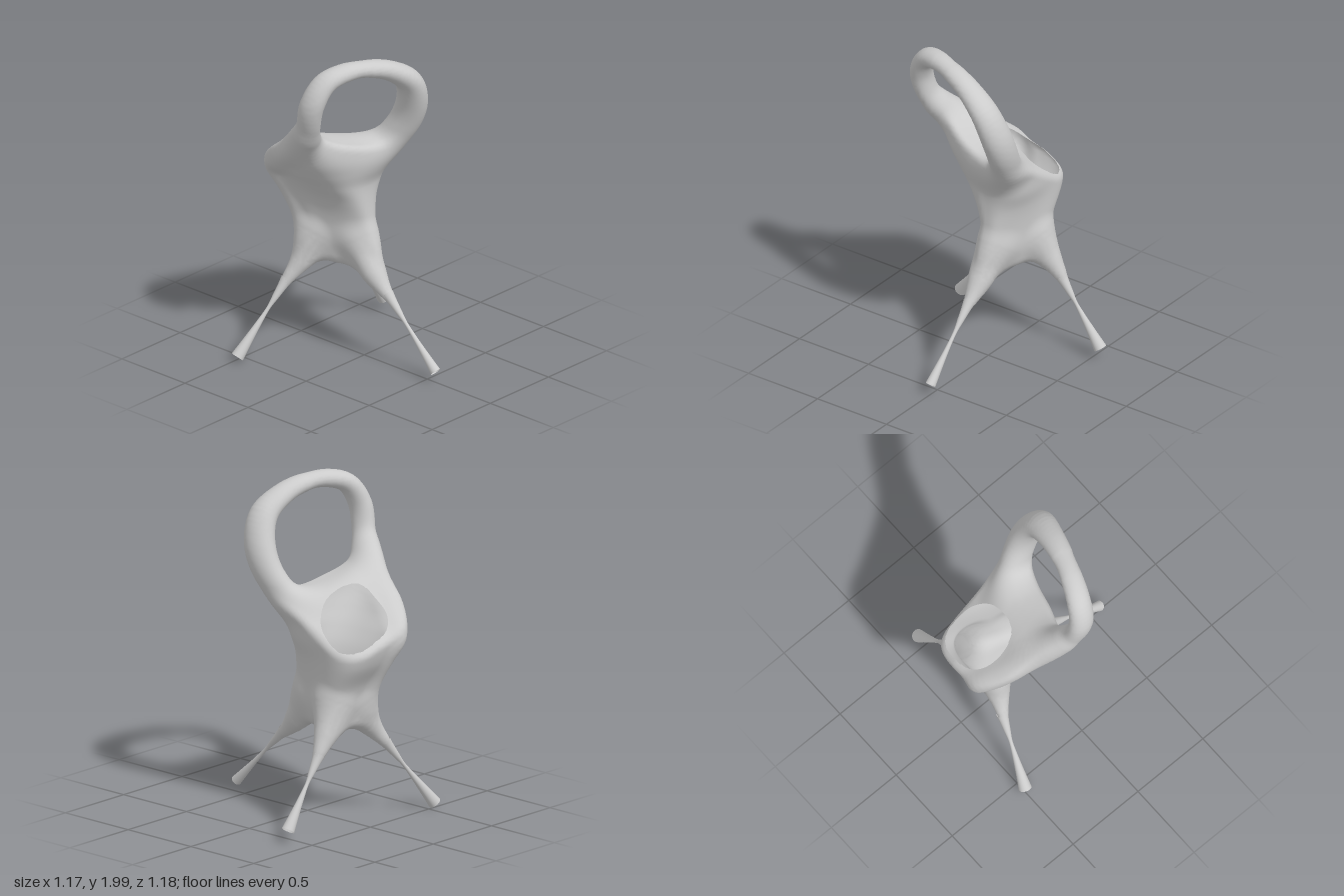
import * as THREE from 'three';

const { lerp, clamp, smoothstep } = THREE.MathUtils;
const material = new THREE.MeshStandardMaterial({ color: 0xcccccc, side: THREE.DoubleSide });

// Blended union and intersection of two distances
const smin = (a, b, k) => Math.min(a, b) - (Math.max(k - Math.abs(a - b), 0) ** 2) / (4 * k);
const smax = (a, b, k) => -smin(-a, -b, k);

// Distance to a curved limb through points [x, y, z, radius]; zScale < 1 widens it in z
function limb(points, closed, steps, zScale = 1) {
  const path = new THREE.CatmullRomCurve3(points.map(p => new THREE.Vector3(p[0], p[1], p[2] * zScale)), closed);
  const radius = new THREE.CatmullRomCurve3(points.map((p, i) => new THREE.Vector3(p[3], i, 0)), closed);
  const s = [];
  for (let i = 0; i <= steps; i++) {
    const p = path.getPoint(i / steps);
    s.push([p.x, p.y, p.z, radius.getPoint(i / steps).x]);
  }
  return (x, y, z) => {
    let best = 1e9;
    for (let i = 0; i < steps; i++) {
      const a = s[i], b = s[i + 1];
      const dx = b[0] - a[0], dy = b[1] - a[1], dz = b[2] - a[2];
      const px = x - a[0], py = y - a[1], pz = z * zScale - a[2];
      const t = clamp((px * dx + py * dy + pz * dz) / (dx * dx + dy * dy + dz * dz), 0, 1);
      const d = Math.sqrt((px - t * dx) ** 2 + (py - t * dy) ** 2 + (pz - t * dz) ** 2) - lerp(a[3], b[3], t);
      if (d < best) best = d;
    }
    return best;
  };
}

// Tilted loop handle
const handle = limb([
  [-0.27, 1.945, 0.115, 0.053], [-0.40, 1.90, 0.06, 0.058], [-0.47, 1.77, 0.02, 0.062],
  [-0.45, 1.60, -0.03, 0.06], [-0.375, 1.46, -0.12, 0.066], [-0.24, 1.345, -0.16, 0.08],
  [-0.02, 1.27, -0.09, 0.085], [0.14, 1.33, 0.02, 0.08], [0.2, 1.47, 0.125, 0.08],
  [0.2, 1.63, 0.195, 0.08], [0.135, 1.79, 0.225, 0.072], [0, 1.89, 0.2, 0.06],
  [-0.13, 1.935, 0.165, 0.053],
], true, 78, 0.78);

// Ridge from the handle's right arm over the back corner and down to the right leg
const shoulder = limb([
  [-0.42, 1.52, -0.08, 0.035], [-0.37, 1.4, -0.2, 0.05], [-0.285, 1.25, -0.4, 0.052], [-0.2, 1.125, -0.535, 0.045],
  [-0.145, 1.0, -0.485, 0.035], [-0.11, 0.85, -0.415, 0.035], [-0.1, 0.7, -0.36, 0.04],
], false, 36);

// Legs: upper roots melt into the body, lower ends run to the feet
const legs = [
  { name: 'frontLeg', foot: [0, 0.07, 0.567], flare: 0.8,
    root: [[0, 0.42, 0.22, 0.026], [0, 0.48, 0.15, 0.046], [0, 0.565, 0.07, 0.076], [0.01, 0.74, -0.05, 0.1]] },
  { name: 'leftLeg', foot: [0.55, 0.075, -0.355], flare: 1,
    root: [[0.3, 0.435, -0.345, 0.025], [0.262, 0.492, -0.342, 0.042], [0.205, 0.575, -0.33, 0.066], [0.11, 0.74, -0.3, 0.095]] },
  { name: 'rightLeg', foot: [-0.56, 0.028, -0.49], flare: 1,
    root: [[-0.27, 0.415, -0.4, 0.026], [-0.225, 0.475, -0.38, 0.04], [-0.162, 0.56, -0.35, 0.062], [-0.07, 0.74, -0.31, 0.09]] },
];
const roots = legs.map(l => limb(l.root, false, 26));

// Body cross-sections: y, centre x, centre z, half width, half depth, taper to the front
const sections = [
  [0.55, 0.01, -0.19, 0.11, 0.19, 0.55], [0.7, 0.02, -0.175, 0.135, 0.23, 0.52],
  [0.85, 0.02, -0.205, 0.15, 0.245, 0.42], [1.0, 0.007, -0.255, 0.187, 0.285, 0.22],
  [1.1, -0.012, -0.272, 0.225, 0.303, 0.05], [1.2, -0.042, -0.268, 0.265, 0.315, 0],
  [1.3, -0.055, -0.265, 0.295, 0.325, -0.04], [1.5, -0.055, -0.265, 0.3, 0.325, -0.04],
];
const sectionAt = new THREE.CubicInterpolant(sections.map(s => s[0]), sections.flatMap(s => s.slice(1)), 5);
function torso(x, y, z) {
  const [cx, cz, rx, rz, taper] = sectionAt.evaluate(clamp(y, 0.551, 1.499));
  // the upper front turns with the handle
  const turn = 0.2 * smoothstep(y, 0.95, 1.25) * smoothstep(z, cz, cz + rz);
  const v = (z - cz - turn * (x - cx)) / rz;
  const u = (x - cx) / (rx * Math.max(0.25, 1 - taper * clamp(v, -1, 1.2)));
  const side = ((Math.abs(u) ** 2.9 + Math.abs(v) ** 2.9) ** (1 / 2.9) - 1) * Math.min(rx, rz);
  // sloping back that drops to the left, gently tilted crest and arched underside
  const slope = smax(1.38 + 0.65 * (z + 0.17) - 0.3 * x - 0.35 * Math.max(x, 0), 1.11 - 0.2 * x, 0.06);
  const top = smin(slope, 1.355 - 0.3 * x, 0.05);
  return smax(smax(side, (y - top) / 1.2, 0.04), 0.56 - y, 0.07);
}

function field(x, y, z) {
  let d = smin(torso(x, y, z), shoulder(x, y, z), 0.08);
  d = smin(d, handle(x, y, z), 0.11);
  for (const root of roots) d = smin(d, root(x, y, z), 0.08);
  return d;
}

function gradient(p) {
  const e = 0.008, [x, y, z] = p;
  return [field(x + e, y, z) - field(x - e, y, z), field(x, y + e, z) - field(x, y - e, z),
    field(x, y, z + e) - field(x, y, z - e)].map(d => d / (2 * e));
}

// Pull a point onto the surface
function settle(p, rounds) {
  for (let n = 0; n < rounds; n++) {
    const g = gradient(p);
    const step = clamp(field(...p) / Math.max(0.05, g[0] ** 2 + g[1] ** 2 + g[2] ** 2), -0.015, 0.015);
    for (let a = 0; a < 3; a++) p[a] -= g[a] * step;
  }
}

// Rounded-square mouth in the sloping back: below 1 is inside the opening
const mouth = { x: -0.003, z: -0.369, rx: 0.197, rz: 0.175 };
const mouthAt = p => p[1] < 1.05 ? 9 :
  (Math.abs((p[0] - mouth.x) / mouth.rx) ** 2.4 + Math.abs((p[2] - mouth.z) / mouth.rz) ** 2.4) ** (1 / 2.4);

// Wrap a smooth skin around the field, one vertex per crossed grid cell
function skinGeometry() {
  const h = 0.021, min = [-0.64, 0.35, -0.68], n = [48, 82, 54];
  const stride = [1, n[0], n[0] * n[1]];
  const values = new Float32Array(n[0] * n[1] * n[2]);
  const eachNode = f => {
    for (let k = 1; k < n[2] - 1; k++) for (let j = 1; j < n[1] - 1; j++)
      for (let i = 1; i < n[0] - 1; i++) f([i, j, k], i + j * stride[1] + k * stride[2]);
  };
  values.fill(1);
  eachNode((c, id) => { values[id] = field(...c.map((v, a) => min[a] + v * h)); });

  const points = [], cellVertex = new Map(), index = [];
  const vertex = id => {
    if (cellVertex.has(id)) return cellVertex.get(id);
    const c = [id % n[0], Math.floor(id / stride[1]) % n[1], Math.floor(id / stride[2])];
    const sum = [0, 0, 0];
    let count = 0;
    for (let corner = 0; corner < 8; corner++) for (let a = 0; a < 3; a++) {
      if (corner >> a & 1) continue;
      const o = [corner & 1, corner >> 1 & 1, corner >> 2 & 1];
      const from = id + o[0] + o[1] * stride[1] + o[2] * stride[2];
      const v0 = values[from], v1 = values[from + stride[a]];
      if (v0 < 0 === v1 < 0) continue;
      o[a] = v0 / (v0 - v1);
      for (let m = 0; m < 3; m++) sum[m] += o[m];
      count++;
    }
    const p = sum.map((s, a) => min[a] + (c[a] + s / count) * h);
    settle(p, 2);
    cellVertex.set(id, points.length);
    return points.push(p) - 1;
  };
  eachNode((c, id) => {
    for (let a = 0; a < 3; a++) {
      const inside = values[id] < 0;
      if (inside === values[id + stride[a]] < 0) continue;
      const b = stride[(a + 1) % 3], d = stride[(a + 2) % 3];
      const q = [id, id - b, id - b - d, id - d].map(vertex);
      if (!inside) q.reverse();
      index.push(q[0], q[1], q[2], q[0], q[2], q[3]);
    }
  });

  // cut the mouth and draw its rim to a clean curve
  const inMouth = points.map(mouthAt), kept = [];
  for (let t = 0; t < index.length; t += 3) {
    const tri = index.slice(t, t + 3);
    if (tri.some(v => inMouth[v] >= 1)) kept.push(...tri);
  }
  new Set(kept).forEach(v => {
    if (inMouth[v] >= 1) return;
    const p = points[v];
    p[0] = mouth.x + (p[0] - mouth.x) / inMouth[v];
    p[2] = mouth.z + (p[2] - mouth.z) / inMouth[v];
    settle(p, 2);
  });

  const normals = points.map(p => new THREE.Vector3(...gradient(p)).normalize().toArray());
  const geometry = new THREE.BufferGeometry();
  geometry.setAttribute('position', new THREE.Float32BufferAttribute(points.flat(), 3));
  geometry.setAttribute('normal', new THREE.Float32BufferAttribute(normals.flat(), 3));
  geometry.setIndex(kept);
  return geometry;
}

// Lower leg: a tube pinched to a thin waist, flaring to an open foot
function lowerLeg({ name, root, foot, flare }) {
  const start = new THREE.Vector3(...root[0]);
  const axis = new THREE.Vector3(...foot).sub(start);
  const length = axis.length();
  const profile = new THREE.SplineCurve([[0.036, -0.1], [0.028, 0], [0.019, 0.16], [0.011, 0.32],
    [0.018 * flare, 0.55], [0.028 * flare, 0.78], [0.039 * flare, 1]].map(([r, t]) => new THREE.Vector2(r, t * length)));
  const mesh = new THREE.Mesh(new THREE.LatheGeometry(profile.getPoints(24).reverse(), 20), material);
  mesh.position.copy(start);
  mesh.quaternion.setFromUnitVectors(new THREE.Vector3(0, 1, 0), axis.normalize());
  mesh.name = name;
  return mesh;
}

export function createModel() {
  const model = new THREE.Group();
  model.name = 'threeLeggedVessel';
  const body = new THREE.Mesh(skinGeometry(), material);
  body.name = 'bodyWithHandle';
  model.add(body, ...legs.map(lowerLeg));
  return model;
}
